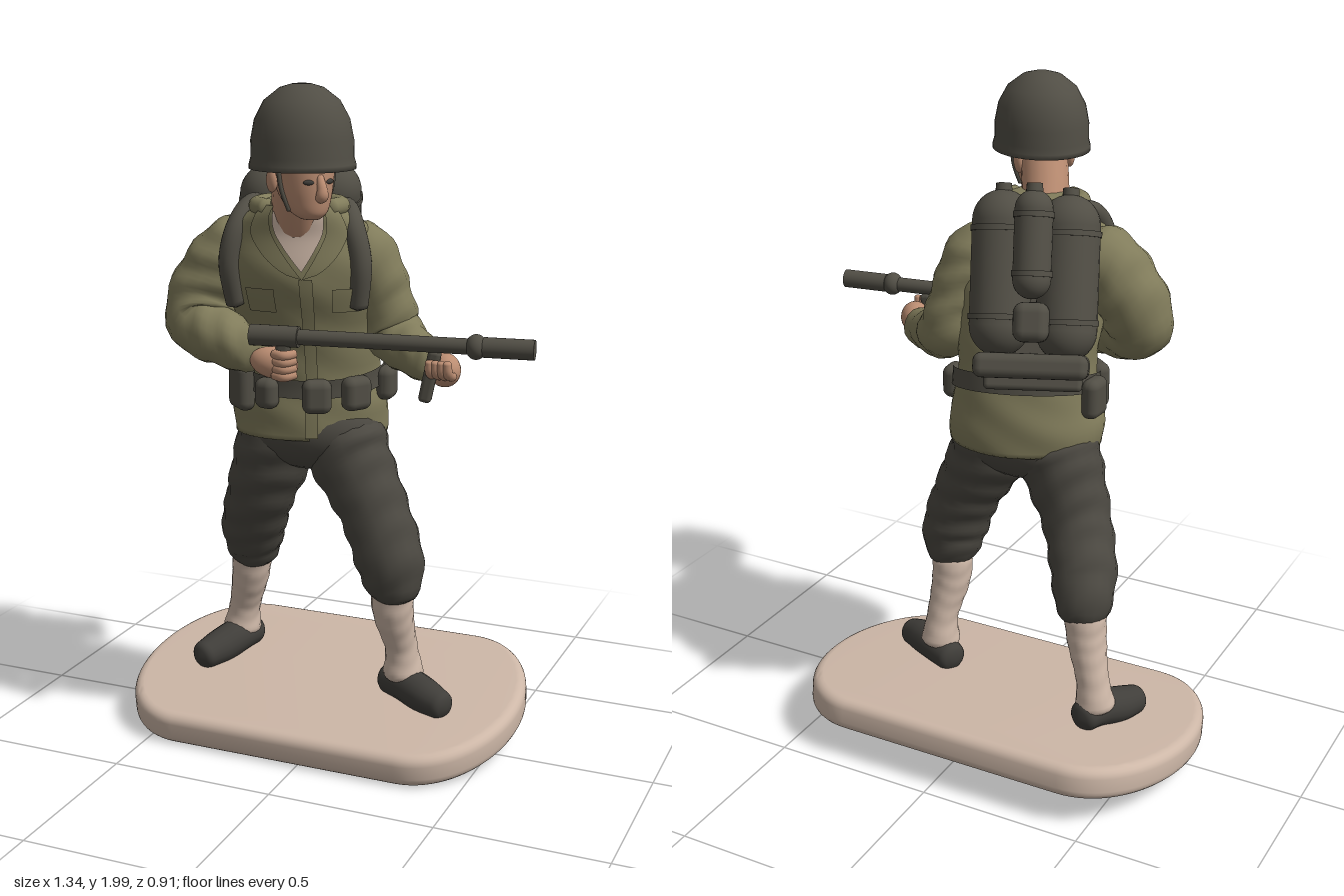
import * as THREE from 'three';
import { mergeVertices, toCreasedNormals } from 'three/addons/utils/BufferGeometryUtils.js';
import { RoundedBoxGeometry } from 'three/addons/geometries/RoundedBoxGeometry.js';

const { sin, cos, sqrt, min, PI } = Math;
const TORSO_YAW = 0.36;

function material(name, color) {
  const m = new THREE.MeshStandardMaterial({ color });
  m.name = name;
  return m;
}

// Weld vertices so shading runs smoothly over seams
function smooth(g) {
  g.deleteAttribute('normal');
  g.deleteAttribute('uv');
  g = mergeVertices(g, 1e-5);
  g.computeVertexNormals();
  return g;
}

// Surface from fn(u, v) -> [x, y, z]; u runs left to right, v upward
function grid(nu, nv, fn) {
  const pos = [], index = [];
  for (let j = 0; j <= nv; j++) for (let i = 0; i <= nu; i++) pos.push(...fn(i / nu, j / nv));
  for (let j = 0; j < nv; j++) for (let i = 0; i < nu; i++) {
    const a = j * (nu + 1) + i, c = a + nu + 1;
    index.push(a, a + 1, c, a + 1, c + 1, c);
  }
  const g = new THREE.BufferGeometry();
  g.setAttribute('position', new THREE.Float32BufferAttribute(pos, 3));
  g.setIndex(index);
  return smooth(g);
}

// Interpolate rows of numbers at t in 0..1
function sample(rows, t) {
  const f = t * (rows.length - 1), i = min(Math.floor(f), rows.length - 2), k = f - i;
  const p0 = rows[Math.max(i - 1, 0)], p1 = rows[i], p2 = rows[i + 1], p3 = rows[min(i + 2, rows.length - 1)];
  return p1.map((b, n) => b + 0.5 * k * (p2[n] - p0[n] + k * (2 * p0[n] - 5 * b + 4 * p2[n] - p3[n]
    + k * (3 * (b - p2[n]) + p3[n] - p0[n]))));
}

// Closed loft through ellipses [x, y, z, halfWidth, halfDepth]
function loft(rows, yaw = 0, folds = 0) {
  const n = 40;
  return grid(40, n, (u, v) => {
    const [x, y, z, w, d] = sample(rows, v), th = (u === 1 ? 0 : u) * 2 * PI;
    const k = v === 0 || v === 1 ? 0 : 1 + folds * sin(y * 45 + 2.5 * sin(2 * th) + th);
    const a = w * k * sin(th), b = d * k * cos(th);
    return [x + a * cos(yaw) + b * sin(yaw), y, z - a * sin(yaw) + b * cos(yaw)];
  });
}

// Round-ended tube through [x, y, z, radius]
function limbGeometry(pts, folds = 0) {
  const N = 36, R = 18;
  const curve = new THREE.CatmullRomCurve3(pts.map(p => new THREE.Vector3(p[0], p[1], p[2])));
  const g = new THREE.TubeGeometry(curve, N, 1, R), p = g.attributes.position;
  const len = curve.getLength(), v = new THREE.Vector3();
  for (let i = 0; i <= N; i++) {
    const u = i / N, c = curve.getPointAt(u);
    let r = sample(pts.map(q => [q[3]]), curve.getUtoTmapping(u))[0];
    const k = min(1, min(u, 1 - u) * len / (r * 0.6));
    r *= sqrt(1 - (1 - k) ** 2);
    for (let j = 0; j <= R; j++) {
      const q = i * (R + 1) + j, th = (j % R) / R * 2 * PI;
      v.fromBufferAttribute(p, q).sub(c).multiplyScalar(r * (1 + folds * sin(i * 1.1 + 2 * sin(2 * th) + th))).add(c);
      p.setXYZ(q, v.x, v.y, v.z);
    }
  }
  return smooth(g);
}

// Jacket body rings, hem to collar
const torso = [
  [-0.07, 0.96, 0.025, 0.225, 0.16], [-0.07, 1.05, 0.025, 0.23, 0.165], [-0.065, 1.15, 0.03, 0.205, 0.16],
  [-0.06, 1.3, 0.06, 0.21, 0.16], [-0.05, 1.45, 0.11, 0.23, 0.155], [-0.05, 1.58, 0.135, 0.2, 0.13],
  [-0.04, 1.64, 0.17, 0.14, 0.105], [-0.03, 1.68, 0.195, 0.085, 0.08]];

// Point on the jacket at a height and an angle from the front
function onTorso(y, th, off = 0) {
  let i = 0;
  while (i < torso.length - 2 && torso[i + 1][1] < y) i++;
  const k = (y - torso[i][1]) / (torso[i + 1][1] - torso[i][1]);
  const [x, , z, w, d] = sample(torso, (i + k) / (torso.length - 1));
  const a = (w + off) * sin(th), b = (d + off) * cos(th);
  return [x + a * cos(TORSO_YAW) + b * sin(TORSO_YAW), y, z - a * sin(TORSO_YAW) + b * cos(TORSO_YAW)];
}

export function createModel() {
  const root = new THREE.Group();
  root.name = 'soldierFigure';
  const tan = material('tanPlastic', 0xcdb7a7), olive = material('oliveCloth', 0x817c5b);
  const trouser = material('darkTrouser', 0x4b4841), gear = material('darkGear', 0x514e45);
  const skin = material('skin', 0xbb8d72), boot = material('bootLeather', 0x403e3a);

  const add = (name, geo, mat, parent = root, pos = [0, 0, 0], rot = [0, 0, 0]) => {
    const m = new THREE.Mesh(geo, mat);
    m.name = name;
    m.position.set(...pos);
    m.rotation.set(...rot);
    parent.add(m);
    return m;
  };
  const limb = (name, mat, pts, folds, parent) => add(name, limbGeometry(pts, folds), mat, parent);
  const ball = (name, mat, pos, s, parent, rot) =>
    add(name, new THREE.SphereGeometry(1, 24, 16), mat, parent, pos, rot).scale.set(...s);
  const group = (name, pos, rx, ry) => {
    const g = new THREE.Group();
    g.name = name;
    g.position.set(...pos);
    g.rotation.set(rx, ry, 0, 'YXZ');
    root.add(g);
    return g;
  };

  // Tilted base slab with bowed ends
  const s = new THREE.Shape(), W = 0.59, D = 0.36;
  s.moveTo(-0.36, -D).lineTo(0.36, -D);
  s.bezierCurveTo(0.5, -D, W, -0.18, W, 0).bezierCurveTo(W, 0.18, 0.5, D, 0.36, D);
  s.lineTo(-0.36, D).bezierCurveTo(-0.5, D, -W, 0.18, -W, 0).bezierCurveTo(-W, -0.18, -0.5, -D, -0.36, -D);
  const slab = new THREE.ExtrudeGeometry(s, { depth: 0.04, bevelSize: 0.03, bevelThickness: 0.03, bevelSegments: 5, curveSegments: 20 });
  slab.translate(0, 0, -0.02).rotateX(-PI / 2);
  add('base', toCreasedNormals(slab, 0.7), tan, root, [-0.05, 0.1, -0.065], [0.127, 0, 0]);

  // Legs, gaiters and boots
  ball('hips', trouser, [-0.065, 0.98, 0.03], [0.215, 0.13, 0.15]);
  limb('leftTrouserLeg', trouser, [[0.02, 1.03, 0.03, 0.13], [0.05, 0.92, 0.035, 0.125], [0.14, 0.75, 0.05, 0.105],
    [0.195, 0.61, 0.06, 0.103], [0.205, 0.54, 0.055, 0.092], [0.2, 0.465, 0.05, 0.07]], 0.035);
  limb('rightTrouserLeg', trouser, [[-0.15, 1.03, 0.03, 0.13], [-0.18, 0.92, 0.03, 0.125], [-0.245, 0.75, 0.01, 0.105],
    [-0.3, 0.62, -0.05, 0.1], [-0.32, 0.55, -0.09, 0.09], [-0.325, 0.465, -0.115, 0.07]], 0.035);
  limb('leftGaiter', tan, [[0.2, 0.53, 0.045, 0.065], [0.2, 0.43, 0.035, 0.062], [0.215, 0.3, 0, 0.05], [0.22, 0.19, -0.01, 0.068]], 0.015);
  limb('rightGaiter', tan, [[-0.33, 0.53, -0.1, 0.065], [-0.345, 0.43, -0.115, 0.06], [-0.38, 0.3, -0.14, 0.05], [-0.395, 0.2, -0.145, 0.066]], 0.015);
  limb('leftBoot', boot, [[0.14, 0.175, -0.05, 0.046], [0.22, 0.183, -0.01, 0.054], [0.3, 0.175, 0.035, 0.054], [0.39, 0.16, 0.075, 0.04]]);
  limb('rightBoot', boot, [[-0.365, 0.2, -0.21, 0.044], [-0.39, 0.205, -0.13, 0.054], [-0.425, 0.185, -0.05, 0.055], [-0.46, 0.17, 0.04, 0.042]]);

  // Jacket, open collar and undershirt
  add('jacket', loft(torso, TORSO_YAW, 0.012), olive);
  const patch = (name, mat, y0, y1, edge, off) => add(name, grid(24, 16, (u, v) => {
    const [a, b] = edge(v), y = y0 + (y1 - y0) * v;
    return onTorso(y, a + (b - a) * u, off);
  }), mat);
  patch('undershirt', tan, 1.48, 1.67, v => [-0.6 * v, 0.6 * v], 0.006);
  for (const k of [-1, 1]) {
    const side = k < 0 ? 'right' : 'left';
    const span = (a, b) => k < 0 ? [-b, -a] : [a, b];
    patch(side + 'Lapel', olive, 1.46, 1.665, v => span(0.6 * v, 0.6 * v + 0.5 * sqrt(v) * (1.1 - 0.4 * v)), 0.014);
    patch(side + 'ChestPocket', olive, 1.36, 1.43, () => span(0.35, 0.75), 0.01);
  }
  patch('frontPlacket', olive, 0.98, 1.46, () => [-0.04, 0.12], 0.009);
  limb('collar', olive, [0.7, 1.5, 2.3, PI, 4, 4.8, 5.6].map(a =>
    [...onTorso(1.655, a), 0.026]));

  // Arms
  limb('rightSleeve', olive, [[-0.18, 1.57, 0.15, 0.08], [-0.26, 1.5, 0.16, 0.105], [-0.34, 1.38, 0.18, 0.105],
    [-0.34, 1.31, 0.205, 0.1], [-0.24, 1.27, 0.25, 0.08], [-0.11, 1.235, 0.285, 0.058]], 0.04);
  limb('leftSleeve', olive, [[0.05, 1.57, 0.08, 0.075], [0.11, 1.5, 0.055, 0.095], [0.15, 1.38, 0.02, 0.09],
    [0.18, 1.28, 0.005, 0.088], [0.26, 1.24, 0.06, 0.07], [0.37, 1.215, 0.14, 0.055]], 0.04);

  // Hands with curled fingers
  ball('rightHand', skin, [-0.065, 1.225, 0.295], [0.07, 0.045, 0.04], root, [0, 0.2, -0.15]);
  ball('leftHand', skin, [0.4, 1.222, 0.18], [0.045, 0.048, 0.06], root, [0, 0.6, 0]);
  for (let i = 0; i < 4; i++) {
    const y = 1.195 + i * 0.02, x = 0.385 + i * 0.017;
    limb('rightFinger', skin, [[-0.06, y, 0.315, 0.013], [-0.02, y, 0.33, 0.014], [0.01, y + 0.005, 0.305, 0.012]]);
    limb('leftFinger', skin, [[x, 1.21, 0.21, 0.013], [x, 1.23, 0.255, 0.014], [x, 1.265, 0.262, 0.012]]);
  }

  // Neck, head and face
  limb('neck', skin, [[-0.035, 1.58, 0.19, 0.07], [-0.02, 1.66, 0.235, 0.07], [0.015, 1.78, 0.29, 0.07]]);
  const head = group('head', [0.025, 1.765, 0.305], 0.05, 0.92);
  add('face', loft([[0, -0.12, 0.055, 0.025, 0.03], [0, -0.1, 0.045, 0.05, 0.058], [0, -0.06, 0.025, 0.068, 0.084],
    [0, -0.01, 0.01, 0.08, 0.1], [0, 0.05, 0, 0.09, 0.105], [0, 0.1, 0, 0.08, 0.1]]), skin, head);
  limb('nose', skin, [[0, 0.005, 0.1, 0.01], [0, -0.03, 0.118, 0.014], [0, -0.05, 0.118, 0.017], [0, -0.06, 0.1, 0.012]], 0, head);
  ball('mouth', trouser, [0, -0.081, 0.101], [0.022, 0.004, 0.004], head);
  for (const k of [-1, 1]) {
    ball('eye', boot, [0.032 * k, -0.014, 0.101], [0.015, 0.007, 0.005], head, [0, 0.35 * k, 0]);
    ball('ear', skin, [0.083 * k, -0.02, -0.01], [0.014, 0.034, 0.022], head);
    limb('chinStrap', gear, [[0.088 * k, 0.03, 0.03, 0.006], [0.078 * k, -0.04, 0.035, 0.006], [0.055 * k, -0.1, 0.04, 0.006]], 0, head);
  }

  // Helmet with a flared rim
  const rim = [[0, 0.05], [0.125, 0.04], [0.138, 0], [0.147, -0.002], [0.146, 0.012], [0.141, 0.03], [0.141, 0.075],
    [0.13, 0.13], [0.104, 0.178], [0.06, 0.212], [0.025, 0.222], [0, 0.223]].map(p => new THREE.Vector2(...p));
  const helmet = add('helmet', new THREE.LatheGeometry(rim, 40), gear, head, [0, 0.012, 0.008], [-0.06, 0, 0]);
  helmet.scale.set(0.97, 1, 1.06);

  // Belt with pouches
  add('belt', grid(48, 4, (u, v) => {
    const th = (u === 1 ? 0 : u) * 2 * PI;
    return onTorso(1.135 + 0.055 * v - 0.035 * cos(th), th, 0.014);
  }), gear);
  for (const [th, w, h] of [[-1.05, 0.1, 0.14], [-0.55, 0.07, 0.09], [0.1, 0.085, 0.1], [0.62, 0.09, 0.1], [1.3, 0.08, 0.1], [-2, 0.09, 0.12]])
    add('beltPouch', new RoundedBoxGeometry(w, h, 0.055, 4, 0.025), gear, root,
      onTorso(1.13 - 0.02 * cos(th), th, 0.02), [0, TORSO_YAW + th, 0]);

  // Shoulder straps
  limb('rightStrap', gear, [[-0.21, 1.36, 0.235, 0.028], [-0.215, 1.5, 0.262, 0.032], [-0.2, 1.6, 0.235, 0.032], [-0.19, 1.65, 0.15, 0.03], [-0.18, 1.58, 0.02, 0.03]]);
  limb('leftStrap', gear, [[0.13, 1.36, 0.15, 0.028], [0.14, 1.5, 0.158, 0.032], [0.11, 1.6, 0.14, 0.032], [0.06, 1.64, 0.07, 0.03], [0, 1.58, -0.02, 0.03]]);

  // Tank backpack
  const pack = group('tankBackpack', [-0.155, 1.535, -0.1], 0.36, 0.39);
  const tank = (name, x, y, z, r, len) => {
    add(name, new THREE.CapsuleGeometry(r, len, 8, 28), gear, pack, [x, y, z]);
    add(name + 'Cap', new THREE.CylinderGeometry(0.022, 0.024, 0.03, 16), gear, pack, [x, y + len / 2 + r + 0.002, z]);
    for (const k of [-1, 1])
      add(name + 'Band', new THREE.CylinderGeometry(r + 0.004, r + 0.004, 0.016, 28), gear, pack, [x, y + k * len * 0.42, z]);
  };
  tank('leftTank', 0.093, -0.005, 0, 0.086, 0.29);
  tank('rightTank', -0.093, -0.015, 0, 0.086, 0.29);
  tank('smallTank', 0, 0.07, -0.105, 0.053, 0.19);
  add('packFrame', new RoundedBoxGeometry(0.28, 0.48, 0.04, 3, 0.015), gear, pack, [0, -0.09, 0.07]);
  add('packShelf', new RoundedBoxGeometry(0.32, 0.07, 0.15, 3, 0.025), gear, pack, [0, -0.26, 0]);
  add('valveHousing', new RoundedBoxGeometry(0.1, 0.11, 0.08, 3, 0.03), gear, pack, [0, -0.14, -0.07]);

  // Projector gun, pointing along its own x
  const gun = group('projectorGun', [-0.13, 1.303, 0.308], 0, 0.138);
  const rod = (name, x0, x1, r) => add(name, new THREE.CylinderGeometry(r, r, x1 - x0, 24), gear, gun, [(x0 + x1) / 2, 0, 0], [0, 0, PI / 2]);
  rod('receiver', 0, 0.14, 0.03);
  rod('barrel', 0.1, 0.7, 0.022);
  rod('muzzle', 0.66, 0.8, 0.028);
  ball('barrelCollar', gear, [0.64, 0, 0], [0.03, 0.035, 0.035], gun);
  add('rearGrip', new RoundedBoxGeometry(0.04, 0.11, 0.035, 3, 0.012), gear, gun, [0.09, -0.06, 0], [0, 0, -0.15]);
  add('frontGrip', new RoundedBoxGeometry(0.036, 0.15, 0.035, 3, 0.012), gear, gun, [0.512, -0.09, -0.005], [0, 0, -0.2]);
  return root;
}
